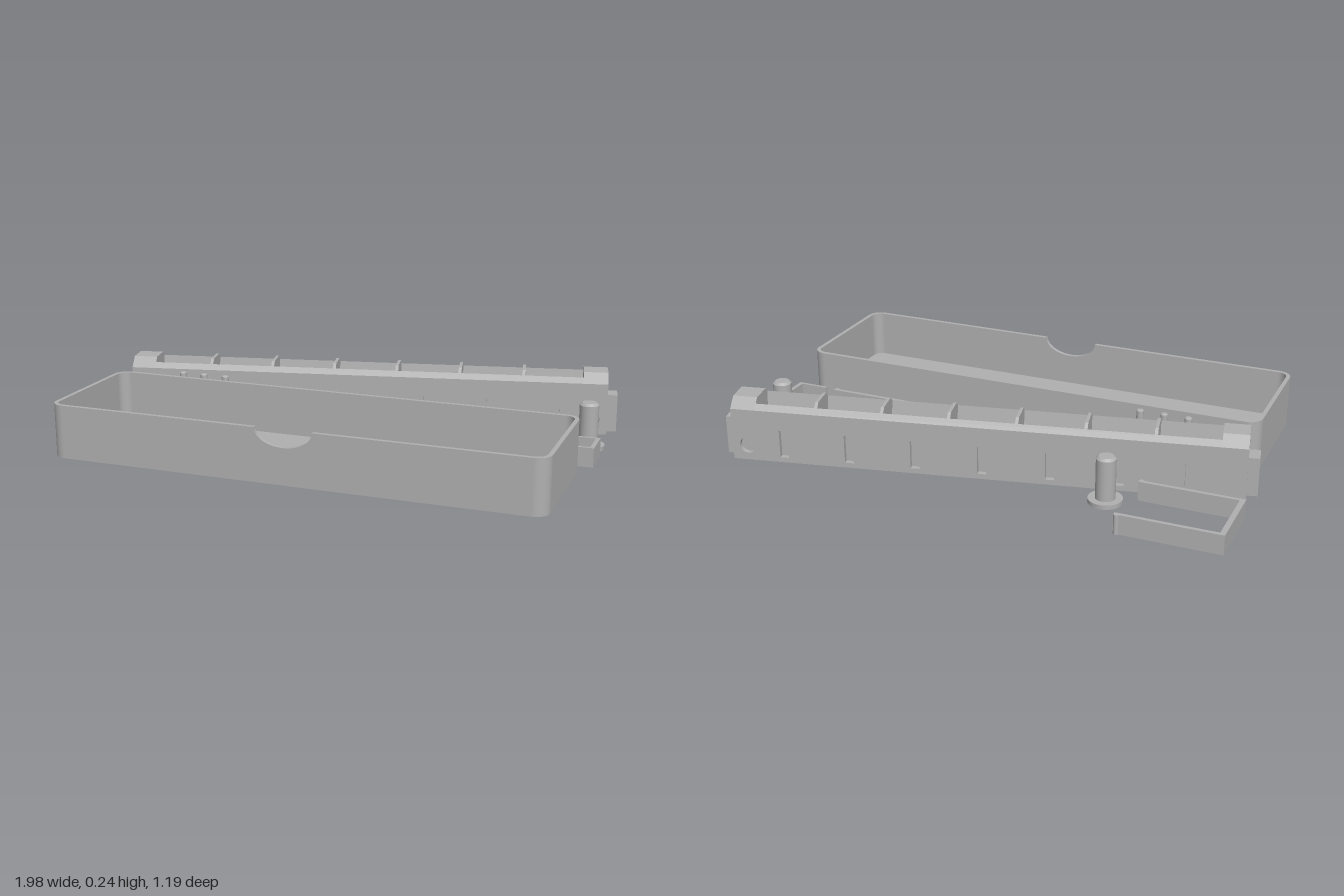
import * as THREE from 'three';

const grey = new THREE.MeshStandardMaterial({ color: 0xb0b0b0 });
grey.name = 'plain grey';

function add(parent, name, geometry, x = 0, y = 0, z = 0) {
  const mesh = new THREE.Mesh(geometry, grey);
  mesh.name = name;
  mesh.position.set(x, y, z);
  parent.add(mesh);
  return mesh;
}

const polygon = (points) => new THREE.Shape(points.map(([x, y]) => new THREE.Vector2(x, y)));

const extrude = (shape, depth) =>
  new THREE.ExtrudeGeometry(shape, { depth, bevelEnabled: false, curveSegments: 16 });

// Extrude a (depth, height) cross-section along x, centred on x = 0
const alongX = (points, length) =>
  extrude(polygon(points), length).translate(0, 0, -length / 2).rotateY(Math.PI / 2);

// Extrude a plan shape upwards
const upwards = (shape, height) => extrude(shape, height).rotateX(-Math.PI / 2);

// Open box with rounded corners and a finger notch in the front wall
function makeTray() {
  const tray = new THREE.Group();
  tray.name = 'tray';
  const hx = 0.946, hz = 0.273, r = 0.055, t = 0.016, h = 0.205;
  const cx = hx - r, cz = hz - r, ri = r - t, q = Math.PI / 2;

  const floor = new THREE.Shape();
  floor.absarc(cx, cz, r, 0, q);
  floor.absarc(-cx, cz, r, q, 2 * q);
  floor.absarc(-cx, -cz, r, 2 * q, 3 * q);
  floor.absarc(cx, -cz, r, 3 * q, 4 * q);
  add(tray, 'trayFloor', upwards(floor, t));

  const sides = new THREE.Shape();
  sides.absarc(cx, -cz, r, -q, 0);
  sides.absarc(cx, cz, r, 0, q);
  sides.absarc(-cx, cz, r, q, 2 * q);
  sides.absarc(-cx, -cz, r, 2 * q, 3 * q);
  sides.absarc(-cx, -cz, ri, 3 * q, 2 * q, true);
  sides.absarc(-cx, cz, ri, 2 * q, q, true);
  sides.absarc(cx, cz, ri, q, 0, true);
  sides.absarc(cx, -cz, ri, 0, -q, true);
  add(tray, 'trayWalls', upwards(sides, h));

  const front = new THREE.Shape();
  front.moveTo(-cx, 0);
  front.lineTo(cx, 0);
  front.lineTo(cx, h);
  front.lineTo(0.11, h);
  front.absellipse(0, h, 0.11, 0.066, 0, -Math.PI, true);
  front.lineTo(-cx, h);
  add(tray, 'trayFrontWall', extrude(front, t), 0, 0, hz - t);
  tray.position.z = 0.322;
  return tray;
}

// Long chamfered beam with a tapering trough, cross ribs and slotted sides
function makeBeam() {
  const beam = new THREE.Group();
  beam.name = 'beam';
  const half = 0.965, w = 0.085, t = 0.02, shoulder = 0.205, top = 0.243;
  const pitch = 0.254, end = 0.095, core = w - t;
  const fullSection = [[-core, 0], [core, 0], [core, shoulder], [w, shoulder],
    [0.045, top], [-0.045, top], [-w, shoulder], [-core, shoulder]];

  for (const s of [-1, 1]) {
    // Slotted side plate with a round socket near one end
    const side = polygon([[-half, 0], [half, 0], [half, shoulder], [-half, shoulder]]);
    for (let i = -3; i <= 3; i++) {
      const u = i * pitch, a = 0.017;
      side.holes.push(polygon([[u - a, 0.02], [u - a, 0.13], [u + a, 0.13], [u + a, 0.02]]));
    }
    const socket = new THREE.Path();
    socket.absarc(0.905, 0.06, 0.032, 0, Math.PI * 2, true);
    side.holes.push(socket);
    add(beam, 'beamSide', extrude(side, t), 0, 0, s > 0 ? core : -w);

    // Sloping inner wall of the trough
    const wall = [[0.025, 0], [core, 0], [core, shoulder], [w, shoulder], [0.064, 0.225]];
    add(beam, 'troughWall', alongX(wall.map(([v, y]) => [s * v, y]), 2 * (half - end)));

    add(beam, 'beamEnd', alongX(fullSection, end), s * (half - end / 2));
    add(beam, 'endTab', new THREE.BoxGeometry(0.042, 0.15, 0.075), s * (half + 0.02), 0.075, 0);
  }
  for (let i = -2.5; i <= 2.5; i++) add(beam, 'rib', alongX(fullSection, 0.012), i * pitch);

  beam.position.set(-0.004, 0, -0.302);
  beam.rotation.y = 0.214;
  return beam;
}

// Headed pin standing on its head, with a bevelled tip
function makePin(name, head, shaft, thickness, height) {
  const b = shaft * 0.25;
  const group = new THREE.Group();
  group.name = name;
  add(group, 'pinHead', new THREE.CylinderGeometry(head, head, thickness, 32), 0, thickness / 2);
  const body = height - thickness - b;
  add(group, 'pinShaft', new THREE.CylinderGeometry(shaft, shaft, body, 32), 0, thickness + body / 2);
  add(group, 'pinTip', new THREE.CylinderGeometry(shaft - b, shaft, b, 32), 0, height - b / 2);
  return group;
}

// U-shaped clip: spine at x = 0, arms reaching towards +x, optional hooks at the tips
function makeClip(name, length, width, spine, arm, hooked) {
  const h = 0.075, w = width / 2;
  const group = new THREE.Group();
  group.name = name;
  const plan = polygon([[0, -w], [length, -w], [length, arm - w], [spine, arm - w],
    [spine, w - arm], [length, w - arm], [length, w], [0, w]]);
  add(group, 'clipBody', upwards(plan, h));
  if (hooked) {
    for (const s of [-1, 1]) {
      add(group, 'clipHook', new THREE.CylinderGeometry(0.01, 0.01, h, 16), length - 0.01, h / 2, s * (w - 0.003));
    }
  }
  return group;
}

export function createModel() {
  const model = new THREE.Group();
  model.name = 'trayAndBeamKit';
  model.add(makeTray(), makeBeam());

  const place = (object, x, z, turn = 0) => {
    object.position.set(x, 0, z);
    object.rotation.y = turn;
    model.add(object);
  };

  // Large and small pins
  for (const [x, z] of [[-0.503, -0.378], [0.922, -0.226]]) {
    place(makePin('largePin', 0.064, 0.037, 0.017, 0.182), x, z);
  }
  for (const x of [-0.69, -0.597, -0.503]) {
    place(makePin('smallPin', 0.025, 0.014, 0.013, 0.21), x, -0.004);
  }

  // Large hooked clips
  place(makeClip('largeClip', 0.39, 0.282, 0.02, 0.015, true), -0.996, -0.45);
  place(makeClip('largeClip', 0.385, 0.282, 0.02, 0.015, true), 0.434, -0.134);

  // Small clips, one turned to open forwards
  place(makeClip('smallClip', 0.125, 0.137, 0.016, 0.012, false), -0.207, -0.123, -Math.PI / 2);
  for (const x of [0.025, 0.192, 0.357, 0.988]) {
    place(makeClip('smallClip', 0.128, 0.137, 0.016, 0.012, false), x, -0.058, Math.PI);
  }
  return model;
}
